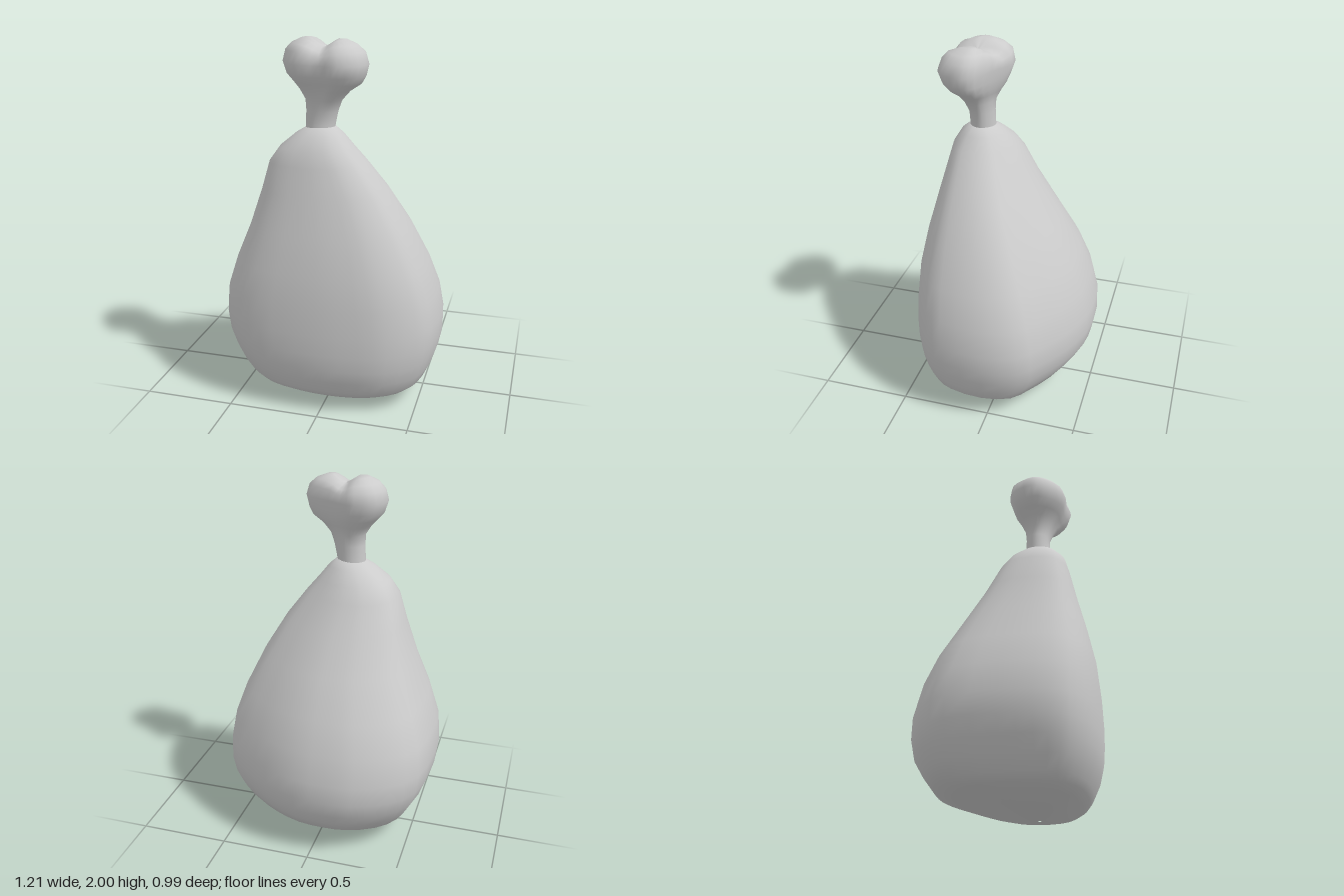
import * as THREE from 'three';

const material = new THREE.MeshStandardMaterial({ color: 0xcccccc });

// Closed smooth outline (clockwise from above), scaled to fill -1..1
function makeOutline(points, count) {
  const curve = new THREE.CatmullRomCurve3(points.map(([x, z]) => new THREE.Vector3(x, 0, z)), true);
  const pts = Array.from({ length: count }, (_, i) => curve.getPoint(i / count));
  const box = new THREE.Box3().setFromPoints(pts);
  const mid = box.getCenter(new THREE.Vector3());
  const half = box.getSize(new THREE.Vector3()).multiplyScalar(0.5);
  return pts.map(p => new THREE.Vector2((p.x - mid.x) / half.x, (p.z - mid.z) / half.z));
}

// Loft the outline through levels [y, xMin, xMax, zMin, zMax, roundness, groove], bottom to top
function loft(name, outline, levels) {
  const n = outline.length, pos = [], index = [];
  levels.forEach(([y, x0, x1, z0, z1, round, groove = 0], j) => {
    outline.forEach((o, i) => {
      const p = o.clone().lerp(o.clone().normalize(), round);
      const x = (x0 + x1) / 2 + p.x * (x1 - x0) / 2;
      const z = (z0 + z1) / 2 + p.y * (z1 - z0) / 2;
      const d = (x + 0.025) / 0.055;
      pos.push(x, y - groove * Math.exp(-d * d), z);
      if (j === levels.length - 1) return;
      const a = j * n + i, b = j * n + (i + 1) % n;
      index.push(a, a + n, b, b, a + n, b + n);
    });
  });
  const g = new THREE.BufferGeometry();
  g.setAttribute('position', new THREE.Float32BufferAttribute(pos, 3));
  g.setIndex(index);
  g.computeVertexNormals();
  const mesh = new THREE.Mesh(g, material);
  mesh.name = name;
  return mesh;
}

export function createModel() {
  const group = new THREE.Group();
  group.name = 'drumstick';

  // Meat: fat pear shape leaning towards the front, with a sloping underside
  const meatOutline = makeOutline([
    [-0.6, 0], [-0.56, -0.26], [-0.44, -0.4], [-0.25, -0.485], [-0.1, -0.5], [0.08, -0.485],
    [0.27, -0.41], [0.43, -0.305], [0.55, -0.2], [0.6, 0], [0.57, 0.23], [0.51, 0.34], [0.37, 0.44],
    [0.22, 0.48], [0, 0.5], [-0.25, 0.48], [-0.4, 0.44], [-0.5, 0.38], [-0.57, 0.3], [-0.6, 0.17],
  ], 40);
  group.add(loft('meat', meatOutline, [
    [0.0, 0.02, 0.04, 0.14, 0.16, 0.5],
    [0.02, -0.14, 0.2, 0.03, 0.27, 0.4],
    [0.06, -0.35, 0.39, -0.12, 0.37, 0.2],
    [0.09, -0.43, 0.47, -0.26, 0.41, 0.1],
    [0.125, -0.475, 0.52, -0.375, 0.435, 0],
    [0.2, -0.52, 0.555, -0.43, 0.47, 0],
    [0.28, -0.56, 0.58, -0.475, 0.49, 0],
    [0.37, -0.592, 0.598, -0.49, 0.498, 0],
    [0.48, -0.605, 0.6, -0.485, 0.5, 0],
    [0.63, -0.59, 0.575, -0.445, 0.495, 0],
    [0.8, -0.53, 0.515, -0.375, 0.48, 0],
    [1.0, -0.447, 0.42, -0.26, 0.44, 0.1],
    [1.2, -0.378, 0.3, -0.135, 0.39, 0.2],
    [1.35, -0.333, 0.187, -0.05, 0.355, 0.3],
    [1.43, -0.275, 0.12, 0, 0.335, 0.5],
    [1.5, -0.19, 0.065, 0.06, 0.29, 0.8],
    [1.54, -0.125, 0.02, 0.11, 0.24, 1],
    [1.545, -0.06, -0.05, 0.17, 0.18, 1],
  ]));

  // Bone: slim shaft flaring into two knuckles with a groove between them
  const boneOutline = makeOutline([
    [-0.26, 0.15], [-0.2, 0.04], [-0.1, 0.015], [-0.05, 0.03], [0.03, 0.075], [0.18, 0.15],
    [0.205, 0.22], [0.16, 0.32], [0.07, 0.36], [-0.02, 0.34], [-0.14, 0.33], [-0.23, 0.24],
  ], 32);
  group.add(loft('bone', boneOutline, [
    [1.48, -0.14, 0.015, 0.1, 0.245, 1],
    [1.55, -0.138, 0.02, 0.105, 0.24, 1],
    [1.62, -0.135, 0.035, 0.105, 0.24, 0.9],
    [1.68, -0.138, 0.06, 0.1, 0.26, 0.6],
    [1.73, -0.17, 0.105, 0.075, 0.285, 0.3],
    [1.77, -0.205, 0.165, 0.05, 0.315, 0.1],
    [1.81, -0.24, 0.19, 0.035, 0.345, 0],
    [1.87, -0.26, 0.205, 0.015, 0.365, 0],
    [1.93, -0.245, 0.185, 0.025, 0.345, 0, 0.02],
    [1.965, -0.21, 0.145, 0.06, 0.315, 0, 0.035],
    [1.99, -0.155, 0.085, 0.11, 0.26, 0, 0.045],
    [2.0, -0.11, 0.045, 0.15, 0.225, 0, 0.05],
    [2.0, -0.03, -0.02, 0.185, 0.19, 0, 0.05],
  ]));
  return group;
}
